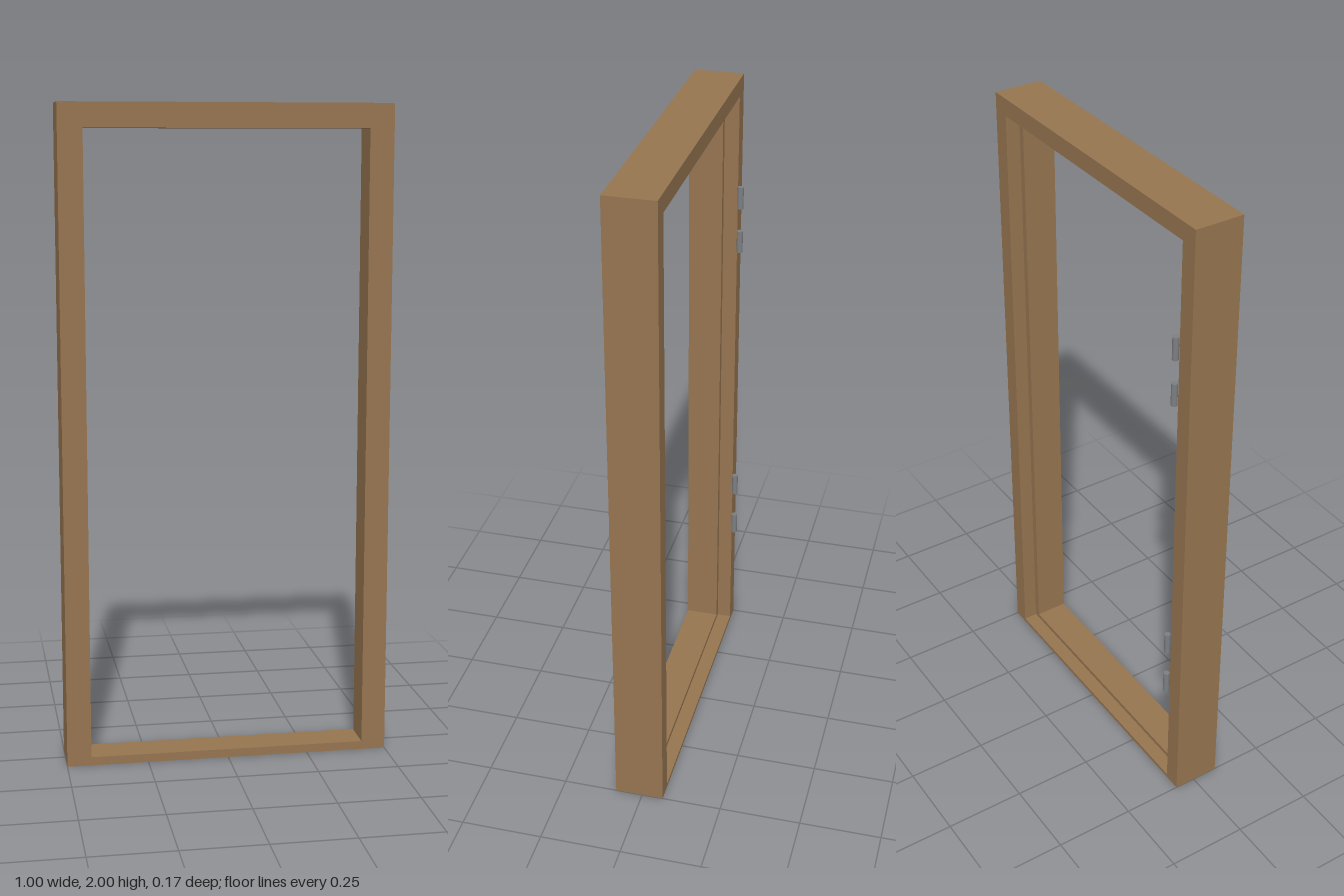
import * as THREE from 'three';

// Closed frame skin: each ring is a rectangle [halfWidth, bottom, top, z]; neighbouring rings are joined
function frameGeometry(rings) {
  const corners = rings.map(([w, b, t, z]) => [[-w, b, z], [w, b, z], [w, t, z], [-w, t, z]]);
  const pos = [];
  corners.forEach((ring, i) => {
    const next = corners[(i + 1) % corners.length];
    for (let j = 0; j < 4; j++) {
      const k = (j + 1) % 4;
      pos.push(...ring[j], ...ring[k], ...next[k], ...ring[j], ...next[k], ...next[j]);
    }
  });
  const geo = new THREE.BufferGeometry();
  geo.setAttribute('position', new THREE.Float32BufferAttribute(pos, 3));
  geo.computeVertexNormals();
  return geo;
}

export function createModel() {
  const model = new THREE.Group();
  model.name = 'doorFrame';

  const wood = new THREE.MeshStandardMaterial({ color: 0x967550 });
  wood.name = 'brown wood';
  const metal = new THREE.MeshStandardMaterial({ color: 0x7c7f82 });
  metal.name = 'grey metal';

  // Jambs, head and sill in one piece, with a rebate for the door at the back
  const back = -0.066, front = 0.084, stop = -0.021;
  const frame = new THREE.Mesh(frameGeometry([
    [0.5, 0, 2, back],
    [0.5, 0, 2, front],
    [0.426, 0.026, 1.926, front],
    [0.426, 0.026, 1.926, stop],
    [0.446, 0.012, 1.946, stop],
    [0.446, 0.012, 1.946, back],
  ]), wood);
  frame.name = 'frame';
  model.add(frame);

  // Two pairs of hinge knuckles on the right jamb
  const knuckle = new THREE.CylinderGeometry(0.0095, 0.0095, 0.071, 24);
  [0.422, 0.58, 1.48, 1.626].forEach((y) => {
    const hinge = new THREE.Mesh(knuckle, metal);
    hinge.name = 'hingeKnuckle';
    hinge.position.set(-0.441, y, -0.0755);
    model.add(hinge);
  });

  return model;
}
